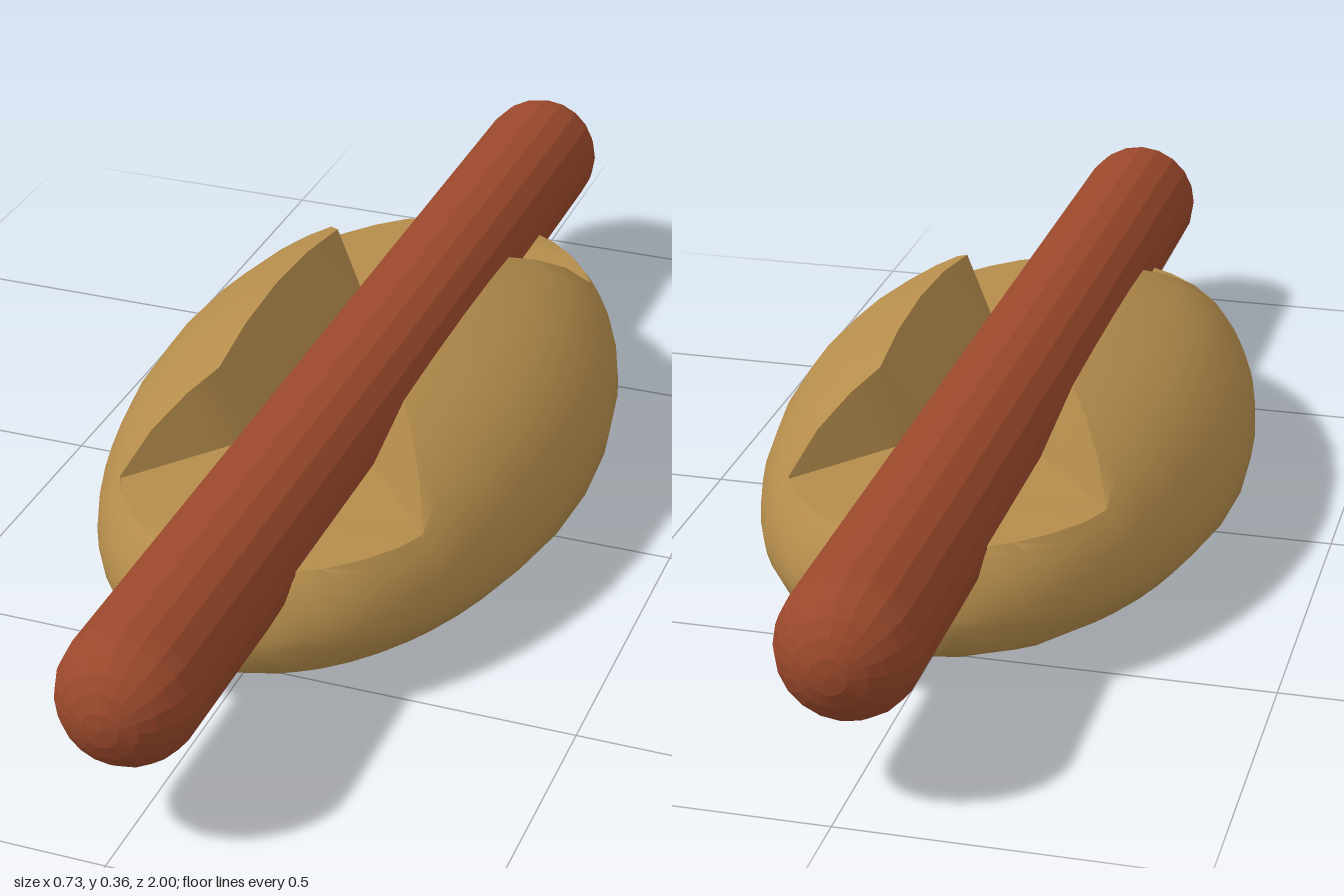
import * as THREE from 'three';
import { toCreasedNormals } from 'three/addons/utils/BufferGeometryUtils.js';

const HALF_W = 0.363, HALF_L = 0.652, RIM_Y = 0.12, DOME = 0.262, SHELF_Y = 0.222;

// Underside height by relative distance from the centre
const UNDER = [[0, 0.002], [0.39, 0.006], [0.69, 0.022], [0.895, 0.045], [0.985, 0.08], [1, RIM_Y]];
function underside(r) {
  for (let i = 1; i < UNDER.length; i++) {
    const [r0, y0] = UNDER[i - 1], [r1, y1] = UNDER[i];
    if (r <= r1) return y0 + (y1 - y0) * (r - r0) / (r1 - r0);
  }
  return RIM_Y;
}

// One closed cross-section of the bun at relative length n (-1..1)
function bunSection(n) {
  const z = n * HALF_L;
  const span = Math.sqrt(Math.max(0, 1 - n * n));
  const radius = (x) => Math.min(1, Math.hypot(x / HALF_W, n));
  const dome = (x) => RIM_Y + DOME * Math.sqrt(1 - radius(x) ** 2);

  // Slot: narrow in the middle, flaring out towards both ends
  const flare = THREE.MathUtils.clamp((Math.abs(z) - 0.25) / 0.17, 0, 1) * 0.135;
  const cut = 1 - ((SHELF_Y - RIM_Y) / DOME) ** 2 - n * n;
  const shelfEdge = HALF_W * Math.sqrt(Math.max(0, cut));
  const foot = Math.min(0.1 + flare, shelfEdge);
  let ridge = foot;
  for (let i = 0; i < 12; i++) ridge = foot + 0.4 * Math.max(0, dome(ridge) - SHELF_Y);
  ridge = Math.min(ridge, Math.max(foot, shelfEdge));

  const half = [];
  for (const [t] of UNDER) {
    const x = t * span * HALF_W;
    half.push([x, underside(radius(x))]);
  }
  // Outer flank, evenly spaced in angle from rim to ridge
  const edge = span > 0 ? Math.acos(Math.min(1, ridge / (span * HALF_W))) : 0;
  for (let k = 1; k <= 6; k++) {
    const x = span * HALF_W * Math.cos(edge * k / 6);
    half.push([x, dome(x)]);
  }
  // Inner wall and slot floor
  half.push([foot, Math.min(SHELF_Y, dome(foot))]);
  half.push([0, Math.min(SHELF_Y, dome(0))]);

  const mirrored = half.slice(1, -1).reverse().map(([x, y]) => [-x, y]);
  return [...half, ...mirrored].map(([x, y]) => [x, y, z - 0.012]);
}

function bunGeometry() {
  const steps = [0, 0.13, 0.25, 0.3, 0.36, 0.42, 0.461, 0.51, 0.55, 0.585, 0.61, 0.635, HALF_L].map((z) => z / HALF_L);
  const stations = [...steps.slice(1).reverse().map((n) => -n), ...steps];
  const sections = stations.map(bunSection);
  const count = sections[0].length;
  const index = [];
  for (let i = 0; i < sections.length - 1; i++) {
    for (let j = 0; j < count; j++) {
      const k = (j + 1) % count;
      const a = i * count + j, b = i * count + k;
      index.push(a, b, b + count, a, b + count, a + count);
    }
  }
  const geometry = new THREE.BufferGeometry();
  geometry.setAttribute('position', new THREE.Float32BufferAttribute(sections.flat(2), 3));
  geometry.setIndex(index);
  return toCreasedNormals(geometry, 0.85);
}

export function createModel() {
  const group = new THREE.Group();

  // Split bun
  const bun = new THREE.Mesh(bunGeometry(), new THREE.MeshStandardMaterial({ color: 0xb58d4c }));
  bun.name = 'bun';
  group.add(bun);

  // Sausage lying along the slot
  const sausage = new THREE.Mesh(
    new THREE.CapsuleGeometry(0.101, 1.798, 6, 20),
    new THREE.MeshStandardMaterial({ color: 0x9a482b, flatShading: true })
  );
  sausage.name = 'sausage';
  sausage.rotation.x = Math.PI / 2;
  sausage.position.y = 0.218;
  group.add(sausage);

  return group;
}
